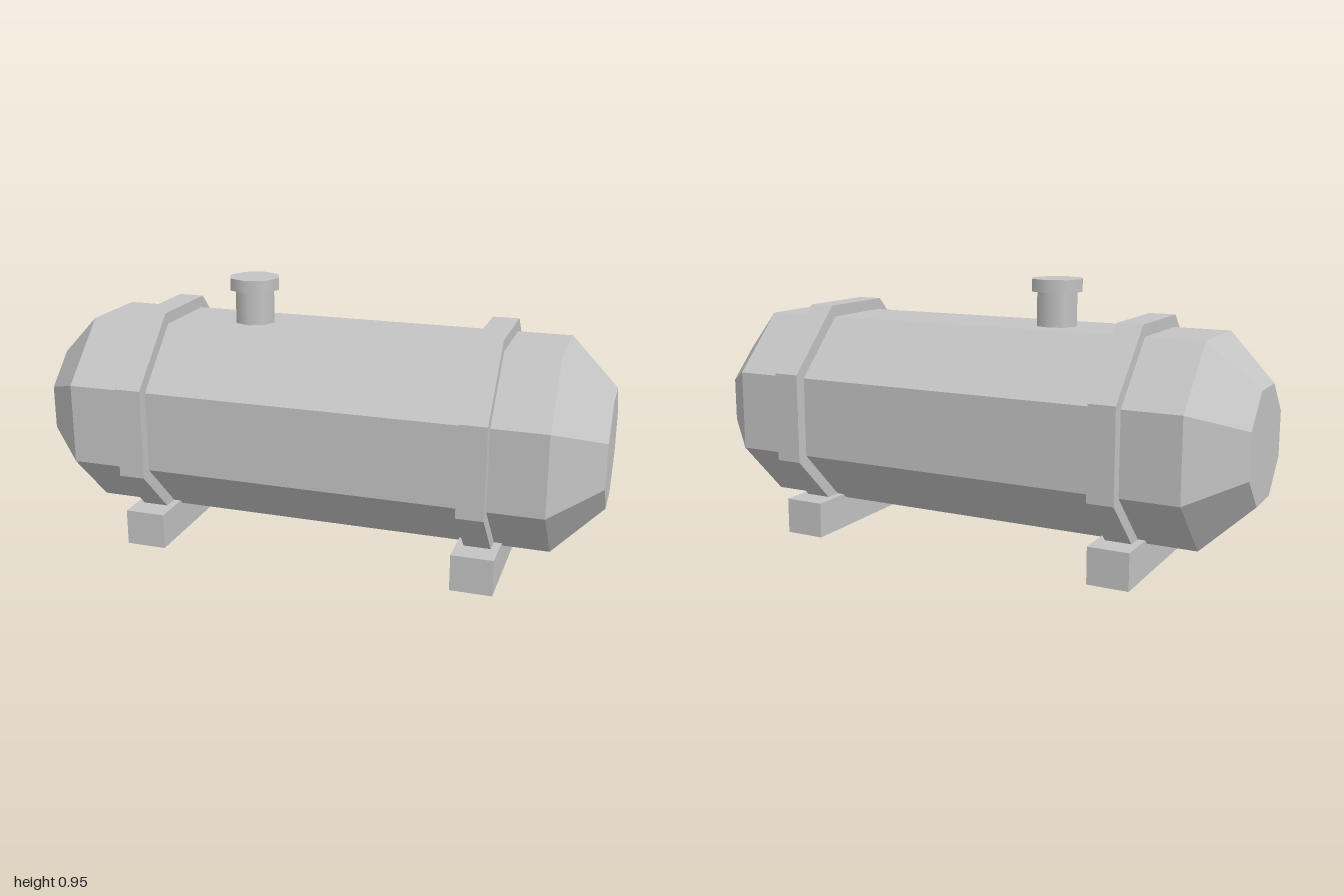
import * as THREE from 'three';

export function createModel() {
  const model = new THREE.Group();
  const grey = new THREE.MeshStandardMaterial({ color: 0xc4c4c4 });
  grey.name = 'light grey';

  const axisY = 0.453;
  const corner = 1 / Math.cos(Math.PI / 8); // octagon flat distance to corner distance

  function add(name, geometry, x, y, z = 0) {
    const mesh = new THREE.Mesh(geometry, grey);
    mesh.name = name;
    mesh.position.set(x, y, z);
    model.add(mesh);
  }

  // Faceted octagonal solid lying along x, from [flat distance, x] profile points
  function octagonalSolid(profile) {
    const points = profile.map(([r, x]) => new THREE.Vector2(r * corner, x));
    const geometry = new THREE.LatheGeometry(points, 8, Math.PI / 8)
      .rotateZ(-Math.PI / 2)
      .toNonIndexed();
    geometry.computeVertexNormals();
    return geometry;
  }

  // Tank with tapered ends
  add('tank', octagonalSolid([
    [0, -1], [0.187, -1], [0.34, -0.834], [0.34, 0.834], [0.187, 1], [0, 1],
  ]), 0, axisY);

  // Straps around the tank, each resting on a foot
  for (const [side, x] of [['right', -0.59], ['left', 0.602]]) {
    add(side + 'Strap', octagonalSolid([
      [0, -0.046], [0.381, -0.046], [0.381, 0.046], [0, 0.046],
    ]), x, axisY);
    add(side + 'Foot', new THREE.BoxGeometry(0.145, 0.128, 0.604), x, 0.064);
  }

  // Filler neck and its cap
  add('fillerNeck', new THREE.CylinderGeometry(0.073, 0.073, 0.14, 8), -0.268, 0.84);
  add('fillerCap', new THREE.CylinderGeometry(0.092, 0.092, 0.043, 8), -0.268, 0.9325);

  return model;
}
